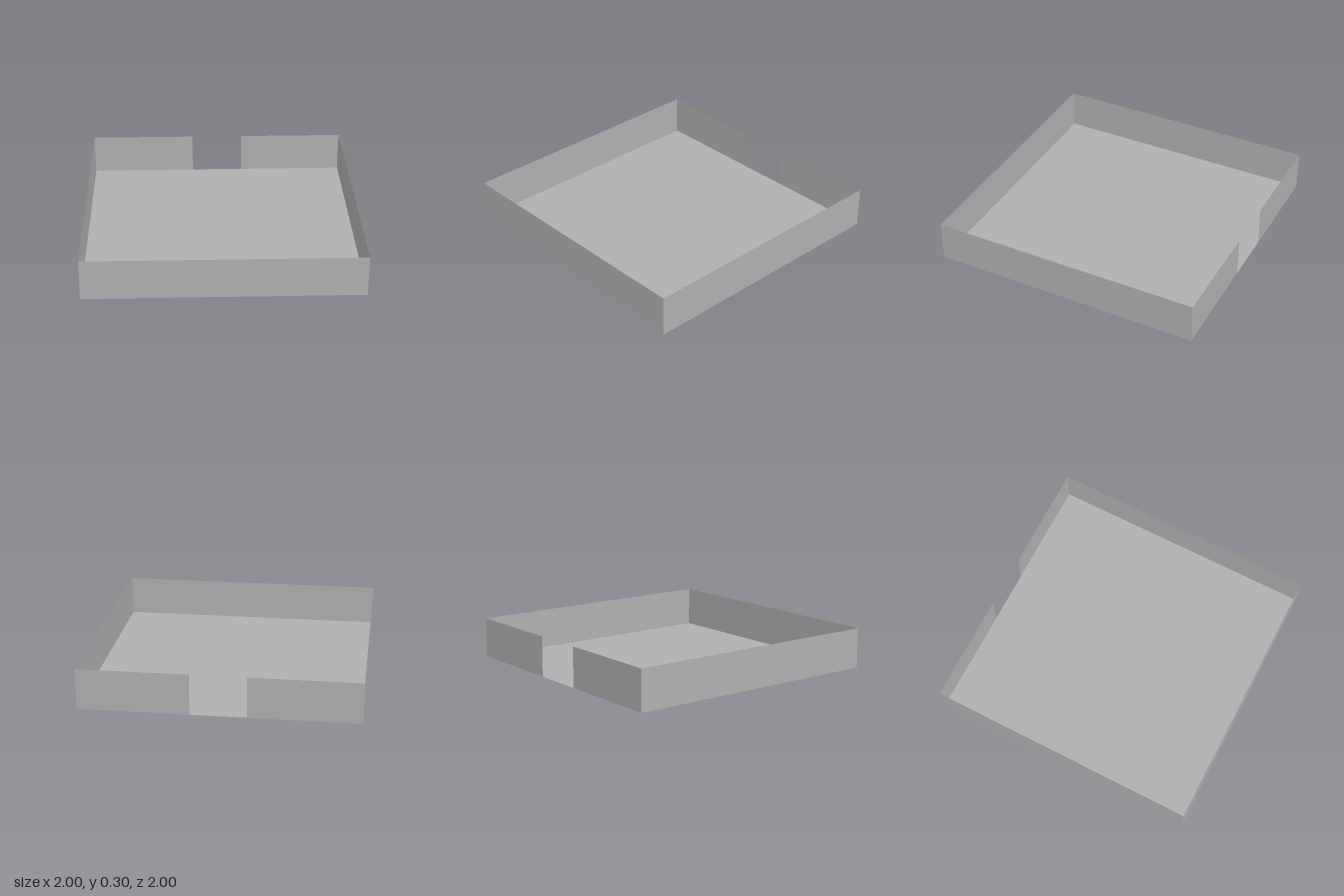
import * as THREE from 'three';

export function createModel() {
  const model = new THREE.Group();
  model.name = 'walledTray';
  const grey = new THREE.MeshStandardMaterial({ name: 'plainGrey', color: 0xb0b0b0, side: THREE.DoubleSide });
  const size = 2, half = size / 2, height = 0.3, gap = 0.4;

  // Paper-thin sheet, turned about y so that its front faces outwards
  function addWall(name, width, x, z, turn) {
    const wall = new THREE.Mesh(new THREE.PlaneGeometry(width, height), grey);
    wall.name = name;
    wall.position.set(x, height / 2, z);
    wall.rotation.y = turn;
    model.add(wall);
  }

  // Floor
  const floor = new THREE.Mesh(new THREE.PlaneGeometry(size, size), grey);
  floor.name = 'floor';
  floor.rotation.x = -Math.PI / 2;
  model.add(floor);

  // Full walls
  addWall('frontWall', size, 0, half, 0);
  addWall('leftWall', size, half, 0, Math.PI / 2);
  addWall('rightWall', size, -half, 0, -Math.PI / 2);

  // Back wall in two pieces, with a doorway between them
  const piece = (size - gap) / 2;
  for (const side of [1, -1]) {
    addWall(side > 0 ? 'backWallLeft' : 'backWallRight', piece, side * (gap + piece) / 2, -half, Math.PI);
  }
  return model;
}
